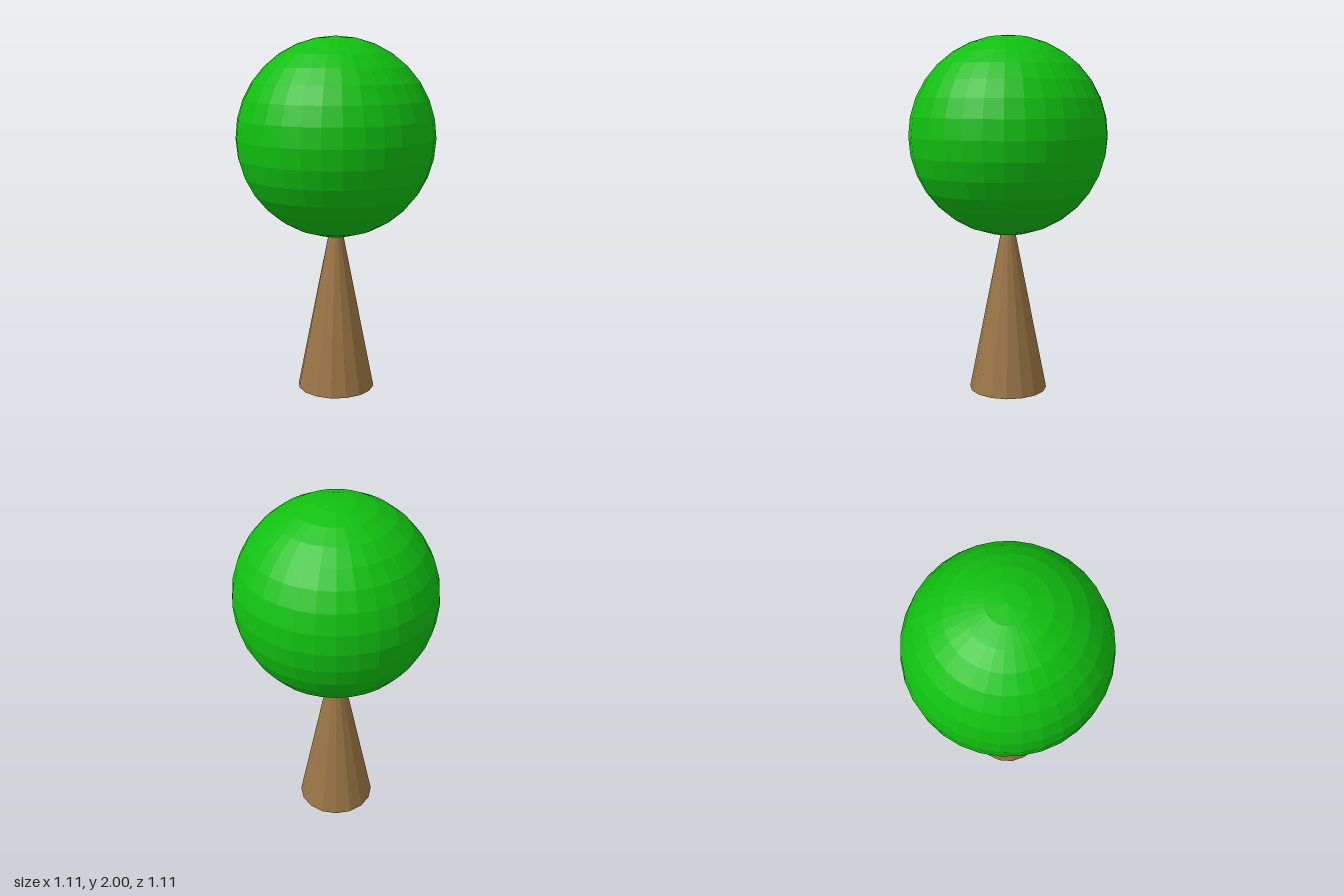
import * as THREE from 'three';

export function createModel() {
  const tree = new THREE.Group();
  tree.name = 'tree';

  const addPart = (name, geometry, color, y) => {
    const material = new THREE.MeshStandardMaterial({ color, flatShading: true });
    const mesh = new THREE.Mesh(geometry, material);
    mesh.name = name;
    mesh.position.y = y;
    tree.add(mesh);
  };

  // Tapered trunk, its tip hidden inside the crown
  const trunkHeight = 1.11;
  addPart('trunk', new THREE.ConeGeometry(0.22, trunkHeight, 16), 0x9b7545, trunkHeight / 2);

  // Round faceted crown
  const crownRadius = 0.553;
  addPart('crown', new THREE.SphereGeometry(crownRadius, 32, 16), 0x10c010, 2 - crownRadius);

  return tree;
}
